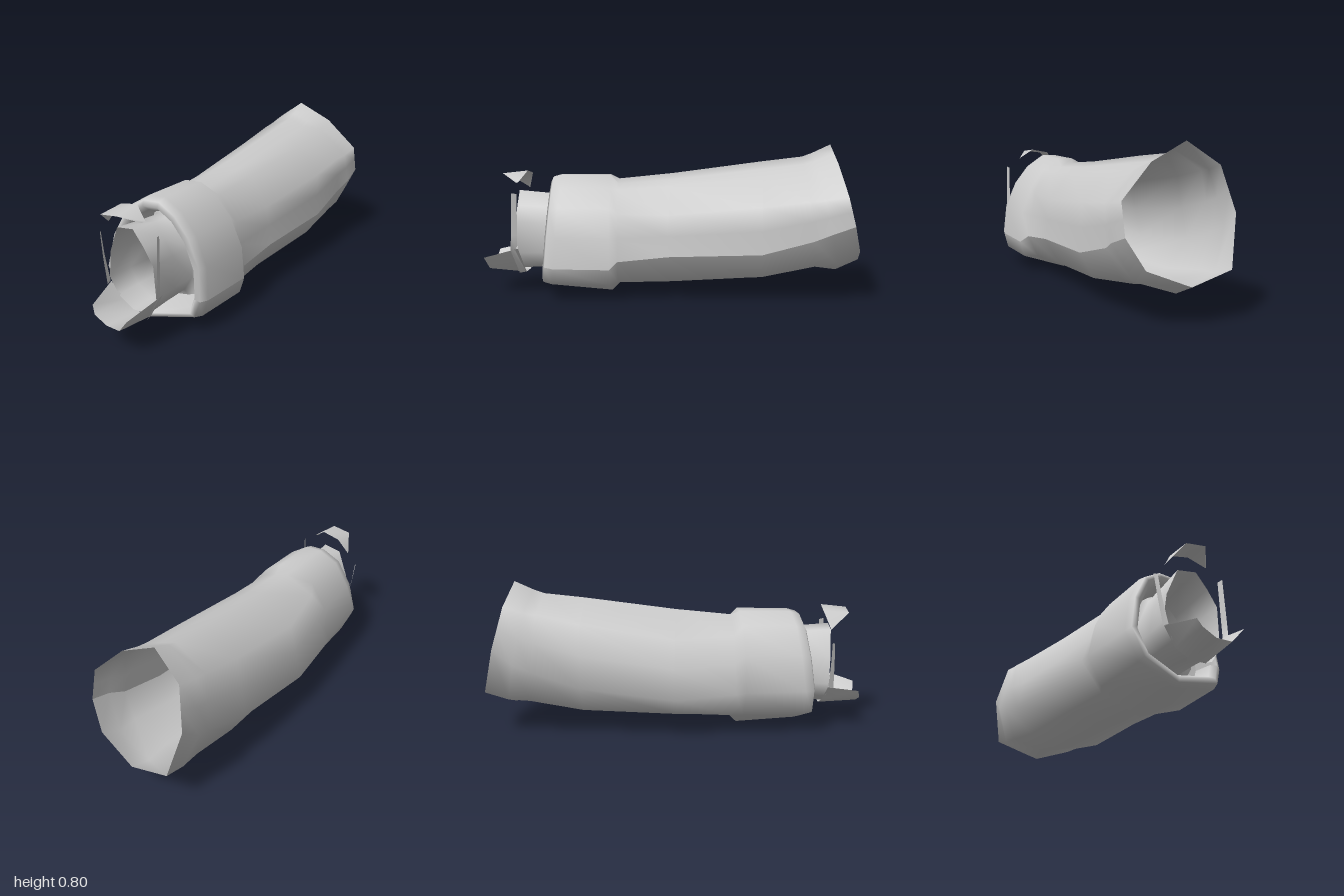
import * as THREE from 'three';

const material = new THREE.MeshStandardMaterial({ color: 0xcccccc, side: THREE.DoubleSide });

// Skin a list of equally long rows of [x, y, z]; closed rows wrap into a tube
function loft(name, rows, closed = true) {
  const n = rows[0].length, index = [];
  for (let r = 0; r < rows.length - 1; r++) {
    for (let i = 0; i < (closed ? n : n - 1); i++) {
      const j = (i + 1) % n;
      const a = r * n + i, b = r * n + j, c = a + n, d = b + n;
      index.push(a, c, b, b, c, d);
    }
  }
  const geometry = new THREE.BufferGeometry();
  geometry.setAttribute('position', new THREE.Float32BufferAttribute(rows.flat(2), 3));
  geometry.setIndex(index);
  geometry.computeVertexNormals();
  const mesh = new THREE.Mesh(geometry, material);
  mesh.name = name;
  return mesh;
}

// Place a 2D outline at depth z, leaning with x and y, scaled about a centre
function ring(points, z, { scale = 1, cx = 0.04, cy = 0.32, leanX = 0, leanY = 0 } = {}) {
  return points.map(([x, y]) => {
    const px = cx + (x - cx) * scale, py = cy + (y - cy) * scale;
    return [px, py, z + leanX * (px - cx) + leanY * (py - cy)];
  });
}

// Add three midpoints to a nine-point sleeve outline so it matches the cuff
function refine(p) {
  const mid = (a, b) => [(p[a][0] + p[b][0]) / 2, (p[a][1] + p[b][1]) / 2];
  return [mid(0, 1), p[1], p[2], mid(2, 3), p[3], p[4], p[5], p[6], p[7], mid(7, 8), p[8], p[0]];
}

// Double the fifth point of a row, which gives a sharp crease along it
const crease = (row) => [...row.slice(0, 5), ...row.slice(4)];

export function createModel() {
  const group = new THREE.Group();
  group.name = 'sleeve';

  // Sleeve outlines from the flared back opening to the cuff
  const rear = [[-0.095, 0.8], [0.09, 0.715], [0.25, 0.56], [0.25, 0.41], [0.17, 0.27],
    [-0.04, 0.185], [-0.25, 0.24], [-0.305, 0.48], [-0.255, 0.69]];
  const flare = [[-0.085, 0.755], [0.095, 0.68], [0.25, 0.54], [0.26, 0.37], [0.17, 0.2],
    [-0.03, 0.13], [-0.24, 0.2], [-0.31, 0.4], [-0.26, 0.66]];
  const neck = [[-0.08, 0.735], [0.1, 0.665], [0.24, 0.53], [0.245, 0.33], [0.18, 0.19],
    [-0.03, 0.143], [-0.23, 0.19], [-0.295, 0.36], [-0.26, 0.65]];
  const upper = [[-0.06, 0.71], [0.11, 0.64], [0.25, 0.5], [0.262, 0.26], [0.19, 0.13],
    [-0.02, 0.08], [-0.22, 0.14], [-0.31, 0.28], [-0.26, 0.6]];
  const middle = [[-0.03, 0.645], [0.12, 0.59], [0.235, 0.45], [0.26, 0.24], [0.18, 0.1],
    [0, 0.05], [-0.19, 0.115], [-0.31, 0.22], [-0.24, 0.52]];
  const lower = [[-0.01, 0.615], [0.13, 0.57], [0.225, 0.45], [0.268, 0.21], [0.21, 0.09],
    [0.025, 0.045], [-0.165, 0.1], [-0.275, 0.245], [-0.17, 0.53]];

  // Thick cuff outlines
  const cuff = [[0.06, 0.638], [0.15, 0.58], [0.23, 0.48], [0.29, 0.34], [0.305, 0.175],
    [0.28, 0.09], [0.03, 0.002], [-0.19, 0.11], [-0.265, 0.25], [-0.225, 0.43],
    [-0.14, 0.575], [-0.03, 0.635]];
  const front = cuff.map(([x, y]) => [x < 0 ? x * 0.86 : x * 1.015, Math.max(y, 0.03)]);
  const lean = { leanX: -0.17, leanY: -0.09 };

  // Sleeve running smoothly into the cuff, whose rounded lip turns inward
  group.add(loft('sleeveAndCuff', [
    ring(refine(rear), -0.965, { leanY: 0.26 }),
    ring(refine(flare), -0.84, { leanY: 0.22 }),
    ring(refine(neck), -0.74, { leanY: 0.12 }),
    ring(refine(upper), -0.48),
    ring(refine(middle), 0),
    ring(refine(lower), 0.285, { leanX: -0.1 }),
    ring(cuff, 0.33, { leanX: -0.12 }),
    ring(front, 0.625, lean),
    ring(front, 0.67, { scale: 0.96, ...lean }),
    ring(front, 0.68, { scale: 0.88, ...lean }),
    ring(front, 0.645, { scale: 0.8, cx: 0.055, ...lean }),
    ring(front, 0.52, { scale: 0.74, cx: 0.06 }),
  ].map(crease)));

  // Narrow inner tube emerging from the cuff, spreading at its base to close the gap
  const wrist = [[0.07, 0.555], [0.13, 0.48], [0.18, 0.4], [0.185, 0.23], [0.13, 0.14],
    [0.03, 0.13], [-0.06, 0.18], [-0.11, 0.26], [-0.09, 0.4], [-0.03, 0.54]];
  group.add(loft('innerTube', [
    ring(wrist, 0.525, { scale: 1.2 }),
    ring(wrist, 0.545, { scale: 0.92 }),
    ring(wrist, 0.68, { scale: 0.95 }),
    ring(wrist, 0.815, { leanY: 0.04 }),
  ]));

  // Loose flaps around the opening
  group.add(loft('topFlap', [
    [[-0.095, 0.55, 0.815], [-0.04, 0.64, 0.78], [0.06, 0.66, 0.78], [0.137, 0.605, 0.81]],
    [[-0.09, 0.56, 0.825], [-0.035, 0.63, 0.915], [0.07, 0.645, 0.915], [0.13, 0.6, 0.825]],
  ], false));
  group.add(loft('bottomFlap', [
    [[-0.105, 0.24, 0.81], [-0.04, 0.155, 0.79], [0.04, 0.115, 0.785], [0.12, 0.115, 0.785], [0.215, 0.26, 0.8]],
    [[-0.05, 0.205, 0.985], [-0.03, 0.165, 0.995], [0.04, 0.13, 0.99], [0.12, 0.13, 0.99], [0.18, 0.2, 1]],
  ], false));

  // Thin upright strips at either side
  group.add(loft('leftStrip', [
    [[0.207, 0.55, 0.8], [0.207, 0.33, 0.805], [0.205, 0.25, 0.81], [0.12, 0.115, 0.79]],
    [[0.217, 0.555, 0.825], [0.217, 0.33, 0.835], [0.215, 0.25, 0.84], [0.13, 0.11, 0.82]],
  ], false));
  group.add(loft('rightStrip', [
    [[-0.14, 0.485, 0.83], [-0.125, 0.37, 0.835], [-0.1, 0.235, 0.84]],
    [[-0.152, 0.492, 0.815], [-0.135, 0.37, 0.815], [-0.11, 0.24, 0.81]],
  ], false));

  return group;
}
